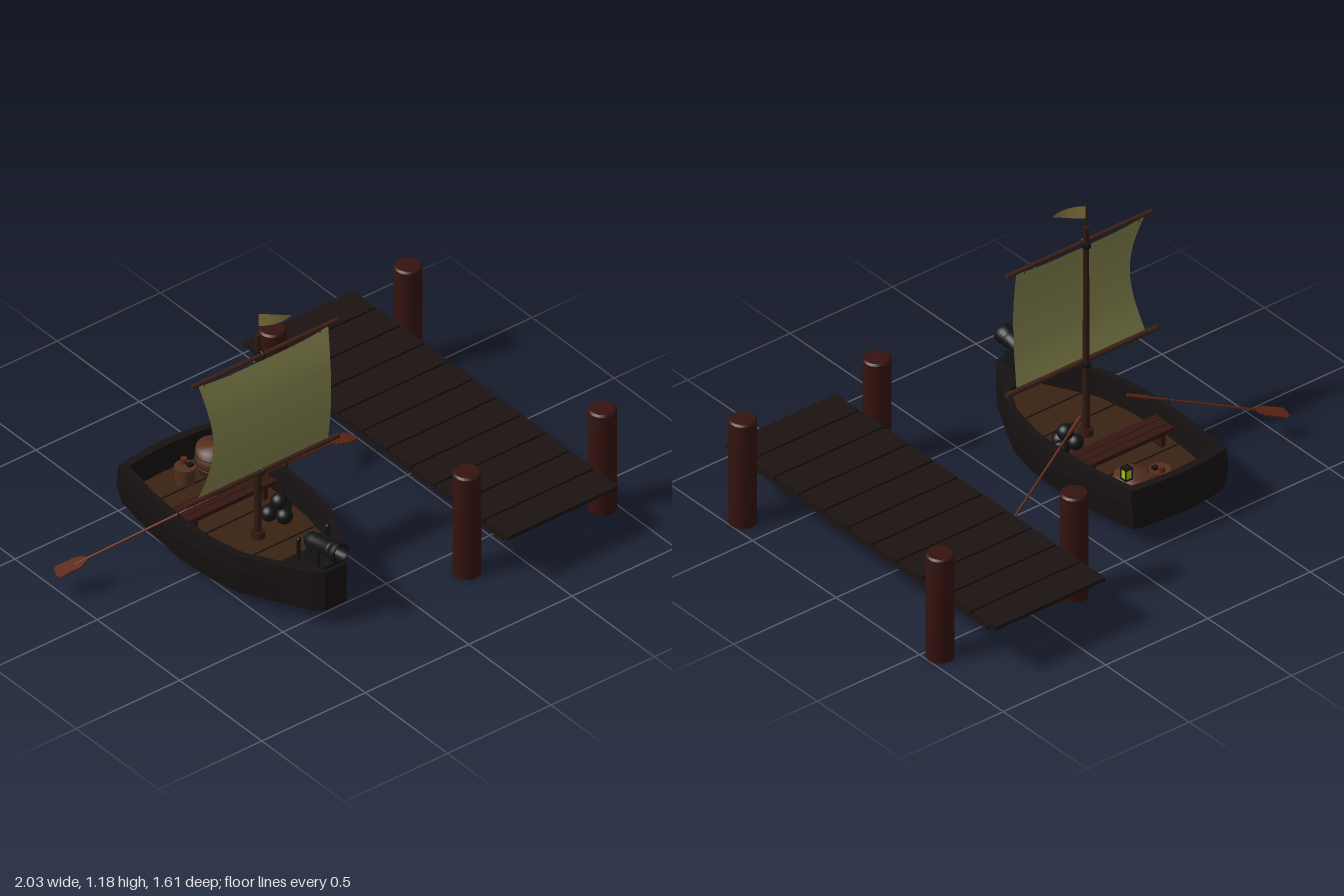
import * as THREE from 'three';

const mat = (color, extra = {}) => new THREE.MeshStandardMaterial({ color, ...extra });
const M = {
  hull: mat(0x161211, { flatShading: true, side: THREE.DoubleSide }),
  floor: mat(0x3a2212), plank: mat(0x1a1311), post: mat(0x35130f), bench: mat(0x331611),
  mast: mat(0x301a10), yard: mat(0x3c2118), sail: mat(0x8a8850, { side: THREE.DoubleSide }),
  flag: mat(0x8a7c45, { side: THREE.DoubleSide }), iron: mat(0x121314), oar: mat(0x5c2614),
  barrel: mat(0x55301f), glow: mat(0xa8c010),
};
const CX = -0.307; // boat centre line

function add(parent, name, geo, material, x = 0, y = 0, z = 0) {
  const m = new THREE.Mesh(geo, material);
  m.name = name;
  m.position.set(x, y, z);
  parent.add(m);
  return m;
}
const box = (w, h, d) => new THREE.BoxGeometry(w, h, d);
const cyl = (r1, r2, h, n = 24) => new THREE.CylinderGeometry(r1, r2, h, n);
const lathe = (pts, n = 24) => new THREE.LatheGeometry(pts.map(p => new THREE.Vector2(...p)), n);

// Hull stations: z, half width, bottom y, top y
const ST = [
  [-0.443, 0.235, 0.08, 0.26], [-0.25, 0.262, 0.068, 0.25], [-0.05, 0.275, 0.06, 0.245], [0.12, 0.265, 0.06, 0.243],
  [0.27, 0.235, 0.064, 0.245], [0.4, 0.165, 0.068, 0.248], [0.535, 0.09, 0.074, 0.252], [0.575, 0.055, 0.077, 0.254],
];

function hullGeometry() {
  const pos = [], idx = [];
  for (const [z, h, yb, yt] of ST) {
    const inner = Math.max(h - 0.035, 0.01), H = yt - yb;
    const half = [[h * 0.93, yb], [h * 0.97, yb + H * 0.3], [h, yb + H * 0.62], [h * 0.985, yt], [inner, yt], [inner * 0.97, 0.12]];
    const ring = [...half, ...half.slice().reverse().map(([x, y]) => [-x, y])];
    ring.forEach(([x, y]) => pos.push(x, y, z));
  }
  const n = 12;
  for (let i = 0; i < ST.length - 1; i++) for (let j = 0; j < n; j++) {
    const a = i * n + j, b = i * n + (j + 1) % n;
    idx.push(a, b, b + n, a, b + n, a + n);
  }
  const g = new THREE.BufferGeometry();
  g.setAttribute('position', new THREE.Float32BufferAttribute(pos, 3));
  g.setIndex(idx);
  g.computeVertexNormals();
  return g;
}

// Flat deck following the hull plan between two z values
function deckGeometry(inset, z0, z1, thick) {
  const st = ST.filter(s => s[0] >= z0 && s[0] <= z1);
  const pts = st.map(s => new THREE.Vector2(s[1] - inset, -s[0]));
  const other = st.map(s => new THREE.Vector2(inset - s[1], -s[0])).reverse();
  const g = new THREE.ExtrudeGeometry(new THREE.Shape([...pts, ...other]), { depth: thick, bevelEnabled: false });
  return g.rotateX(-Math.PI / 2);
}

function buildHull(boat) {
  add(boat, 'hull', hullGeometry(), M.hull);
  // Bowed transom
  const t = new THREE.BoxGeometry(0.47, 0.18, 0.035, 8, 2, 1), p = t.attributes.position;
  for (let i = 0; i < p.count; i++) {
    const x = p.getX(i), y = p.getY(i);
    p.setZ(i, p.getZ(i) - 0.024 * (1 - (x / 0.235) ** 2) - 0.012 * (1 - Math.abs(y) / 0.09));
    p.setX(i, x * (y < -0.05 ? 0.93 : 1));
  }
  t.computeVertexNormals();
  add(boat, 'transom', t, M.hull, 0, 0.17, -0.43);
  add(boat, 'stem', box(0.106, 0.175, 0.02), M.hull, 0, 0.166, 0.566);
  add(boat, 'floor', deckGeometry(0.036, -0.45, 0.54, 0.012), M.floor, 0, 0.125, 0);
  add(boat, 'foredeck', deckGeometry(0.03, 0.4, 0.58, 0.012), M.hull, 0, 0.233, 0);
  [[-0.31, 0.22], [-0.17, 0.23], [-0.03, 0.238], [0.19, 0.22], [0.33, 0.165]].forEach(([z, w]) =>
    add(boat, 'floorSeam', box(w * 2, 0.004, 0.006), M.hull, 0, 0.138, z));
  for (let i = 0; i < 3; i++) add(boat, 'benchSlat', box(0.43, 0.018, 0.035), M.bench, 0, 0.205, -0.142 + i * 0.038);
  for (const s of [-1, 1]) add(boat, 'benchLeg', box(0.02, 0.07, 0.09), M.bench, s * 0.17, 0.165, -0.104);
}

function buildRig(boat) {
  const z = 0.105;
  add(boat, 'mast', cyl(0.011, 0.015, 0.95, 16), M.mast, 0, 0.605, z);
  add(boat, 'mastCollar', cyl(0.025, 0.03, 0.03, 16), M.mast, 0, 0.15, z);
  add(boat, 'flagpole', cyl(0.003, 0.003, 0.11, 8), M.mast, 0, 1.125, z);
  for (const [y, x0, x1, r] of [[0.997, -0.645, 0.065, 0.009], [0.455, -0.675, 0.065, 0.011]]) {
    add(boat, 'yard', cyl(r, r, x1 - x0, 14), M.yard, (x0 + x1) / 2 - CX, y, 0.128).rotation.z = Math.PI / 2;
    const ring = add(boat, 'yardLashing', new THREE.TorusGeometry(0.014, 0.005, 8, 16), M.iron, 0, y, 0.128);
    ring.rotation.y = Math.PI / 2;
    add(boat, 'mastLashing', cyl(0.018, 0.018, 0.02, 14), M.iron, 0, y, z);
  }
  // Square sail, bellied forward with hollow edges
  const sail = new THREE.PlaneGeometry(2, 1, 20, 24), p = sail.attributes.position;
  for (let i = 0; i < p.count; i++) {
    const u = p.getX(i), v = p.getY(i) + 0.5, s = Math.sin(Math.PI * v);
    const top = 0.972 + 0.018 * u ** 4;
    p.setXYZ(i, u * (0.314 - 0.029 * s) + 0.006, 0.468 + v * (top - 0.468), 0.13 + 0.055 * s);
  }
  sail.computeVertexNormals();
  add(boat, 'sail', sail, M.sail);
  for (const u of [-0.9, -0.5, 0, 0.5, 0.9])
    add(boat, 'sailTie', cyl(0.002, 0.002, 0.03, 6), M.yard, u * 0.31, 0.985, 0.131);
  // Tapered pennant
  const flag = new THREE.PlaneGeometry(1, 2, 10, 2), f = flag.attributes.position;
  for (let i = 0; i < f.count; i++) {
    const u = f.getX(i) + 0.5, v = f.getY(i);
    f.setXYZ(i, u * 0.12, 1.146 + v * 0.028 * (1 - u ** 2), z + 0.055 * Math.sin(u * Math.PI / 2));
  }
  flag.computeVertexNormals();
  add(boat, 'pennant', flag, M.flag);
}

function buildOar(boat, side) {
  const oar = new THREE.Group();
  oar.name = side > 0 ? 'leftOar' : 'rightOar';
  const a = new THREE.Vector3(side * 0.115, 0.32, -0.002);
  const b = new THREE.Vector3(side * 0.715, 0.098, -0.225);
  const d = b.clone().sub(a), L = d.length();
  d.normalize();
  const w = new THREE.Vector3(0, 1, 0).cross(d).normalize();
  oar.quaternion.setFromRotationMatrix(new THREE.Matrix4().makeBasis(w, d, w.clone().cross(d)));
  oar.position.copy(a);
  add(oar, 'shaft', cyl(0.005, 0.005, L - 0.08, 10), M.oar, 0, (L - 0.08) / 2, 0);
  add(oar, 'grip', cyl(0.008, 0.007, 0.09, 10), M.oar, 0, 0.045, 0);
  const s = new THREE.Shape([[-0.012, 0], [0.012, 0], [0.033, 0.035], [0.036, 0.12], [0.02, 0.132],
    [-0.02, 0.132], [-0.036, 0.12], [-0.033, 0.035]].map(q => new THREE.Vector2(...q)));
  add(oar, 'blade', new THREE.ExtrudeGeometry(s, { depth: 0.006, bevelEnabled: false }), M.oar, 0, L - 0.132, -0.003);
  boat.add(oar);
  const lock = add(boat, 'oarlock', new THREE.TorusGeometry(0.012, 0.003, 6, 14), M.iron, side * 0.262, 0.265, -0.057);
  lock.rotation.y = Math.PI / 2;
}

function buildCannon(boat) {
  const gun = new THREE.Group();
  gun.name = 'bowCannon';
  gun.position.set(0, 0.318, 0.49);
  const barrel = add(gun, 'cannonBarrel', lathe([[0, -0.1], [0.009, -0.098], [0.011, -0.088], [0.006, -0.078], [0.028, -0.072],
    [0.034, -0.06], [0.036, -0.03], [0.032, -0.025], [0.031, 0.06], [0.036, 0.066], [0.036, 0.076], [0.032, 0.08],
    [0.041, 0.1], [0.041, 0.118], [0.026, 0.118], [0.024, 0.03], [0, 0.03]]), M.iron);
  barrel.rotation.x = Math.PI / 2 - 0.2;
  add(gun, 'trunnion', cyl(0.008, 0.008, 0.11, 12), M.iron).rotation.z = Math.PI / 2;
  add(gun, 'carriage', box(0.08, 0.02, 0.12), M.iron, 0, -0.06, 0.01);
  for (const s of [-1, 1]) {
    add(gun, 'cheek', box(0.012, 0.06, 0.07), M.iron, s * 0.045, -0.03, 0.005);
    add(gun, 'swivelPost', cyl(0.007, 0.007, 0.09, 10), M.iron, s * 0.07, -0.02, -0.05);
    add(gun, 'swivelKnob', new THREE.SphereGeometry(0.01, 12, 8), M.iron, s * 0.07, 0.025, -0.05);
  }
  boat.add(gun);
  for (const [x, y, z] of [[0.097, 0.17, 0.05], [0.167, 0.17, 0.05], [0.132, 0.17, 0.1], [0.132, 0.222, 0.068]])
    add(boat, 'cannonball', new THREE.SphereGeometry(0.033, 20, 14), M.iron, x, y, z);
}

function buildCargo(boat) {
  add(boat, 'barrel', lathe([[0, 0], [0.062, 0], [0.075, 0.055], [0.068, 0.108], [0, 0.108]]), M.barrel, 0.142, 0.137, -0.34);
  for (const y of [0.165, 0.215])
    add(boat, 'barrelHoop', new THREE.TorusGeometry(0.072, 0.003, 6, 28), M.iron, 0.142, y, -0.34).rotation.x = Math.PI / 2;
  add(boat, 'stool', cyl(0.042, 0.036, 0.075), M.barrel, 0.002, 0.174, -0.34);
  add(boat, 'mug', cyl(0.013, 0.013, 0.022, 14), M.oar, 0.012, 0.222, -0.36);
  add(boat, 'smallBox', box(0.022, 0.012, 0.02), M.iron, 0.018, 0.217, -0.33);
  // Lantern
  const l = new THREE.Group();
  l.name = 'lantern';
  l.position.set(0.177, 0.245, -0.353);
  add(l, 'lanternBase', box(0.036, 0.006, 0.036), M.iron, 0, 0.003, 0);
  add(l, 'lanternGlass', box(0.028, 0.042, 0.028), M.glow, 0, 0.027, 0);
  for (const x of [-1, 1]) for (const z of [-1, 1])
    add(l, 'lanternBar', box(0.004, 0.042, 0.004), M.iron, x * 0.015, 0.027, z * 0.015);
  add(l, 'lanternCap', box(0.036, 0.006, 0.036), M.iron, 0, 0.05, 0);
  add(l, 'lanternHandle', new THREE.TorusGeometry(0.008, 0.002, 6, 12), M.iron, 0, 0.058, 0);
  boat.add(l);
}

function buildDock(root) {
  const dock = new THREE.Group();
  dock.name = 'dock';
  for (let i = 0; i < 11; i++) add(dock, 'dockPlank', box(0.535, 0.016, 0.138), M.plank, 0.6125, 0.225, -0.739 + i * 0.1473);
  for (const x of [0.381, 0.846]) add(dock, 'dockBeam', box(0.045, 0.033, 1.5), M.plank, x, 0.202, 0.005);
  const post = lathe([[0, 0], [0.055, 0], [0.055, 0.46], [0.055, 0.46], [0.048, 0.468], [0.048, 0.468], [0, 0.468]], 32);
  for (const x of [0.289, 0.944]) for (const z of [-0.554, 0.627]) add(dock, 'dockPost', post, M.post, x, 0, z);
  root.add(dock);
}

export function createModel() {
  const root = new THREE.Group();
  root.name = 'boatAndDock';
  const boat = new THREE.Group();
  boat.name = 'boat';
  boat.position.x = CX;
  root.add(boat);
  buildHull(boat);
  buildRig(boat);
  buildCannon(boat);
  buildCargo(boat);
  for (const side of [-1, 1]) buildOar(boat, side);
  buildDock(root);
  return root;
}
